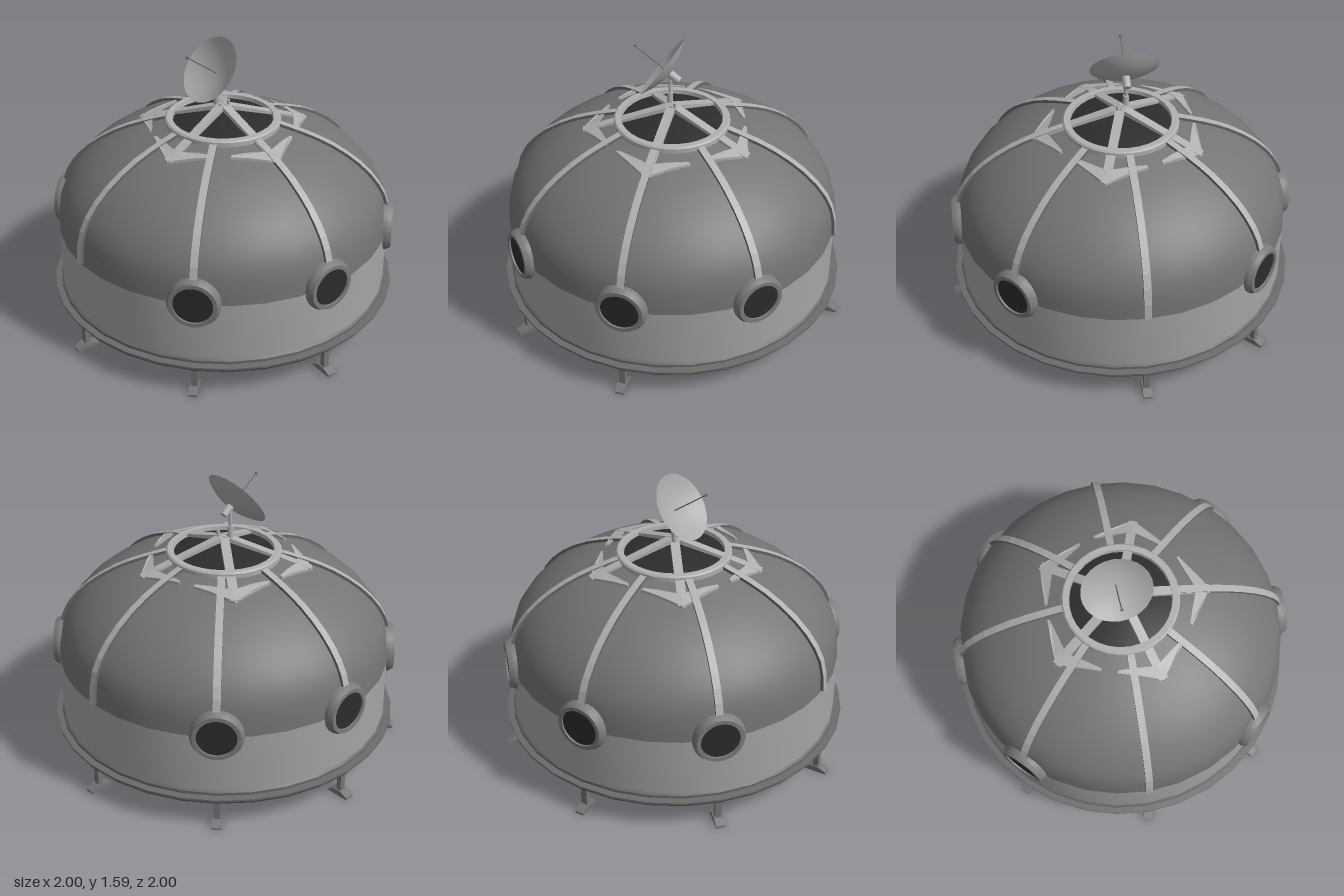
import * as THREE from 'three';
import { toCreasedNormals } from 'three/addons/utils/BufferGeometryUtils.js';

const SIDES = 32;
const V2 = (x, y) => new THREE.Vector2(x, y);
const V3 = (x, y, z) => new THREE.Vector3(x, y, z);

function paint(name, color, side = THREE.FrontSide) {
  const m = new THREE.MeshStandardMaterial({ color, side });
  m.name = name;
  return m;
}

function part(parent, name, geometry, material, x = 0, y = 0, z = 0) {
  const mesh = new THREE.Mesh(geometry, material);
  mesh.name = name;
  mesh.position.set(x, y, z);
  parent.add(mesh);
  return mesh;
}

// Turned shape from [radius, height] pairs, listed from the bottom up
function turned(pairs, sides = SIDES, crease = 0.5) {
  const g = new THREE.LatheGeometry(pairs.map(([r, y]) => V2(r, y)), sides);
  return toCreasedNormals(g, crease);
}

// Flat outline in the radius/height plane, thickened sideways
function slab(points, width) {
  const g = new THREE.ExtrudeGeometry(new THREE.Shape(points), { depth: width, bevelEnabled: false });
  return g.translate(0, 0, -width / 2);
}

// Rib following a dome curve from parameter t0 to the top
function ribAlong(curve, t0) {
  const inner = [], outer = [];
  for (let i = 0; i <= 10; i++) {
    const t = t0 + (1 - t0) * i / 10;
    const p = curve.getPoint(t), d = curve.getTangent(t);
    const n = V2(d.y, -d.x);
    outer.push(p.clone().addScaledVector(n, 0.016));
    inner.unshift(p.clone().addScaledVector(n, -0.02));
  }
  return slab([...outer, ...inner], 0.04);
}

// Forked plate draped over the dome, pointing along +x
function forkPlate() {
  const half = [[0.495, 0], [0.455, 0.06], [0.41, 0.125], [0.355, 0.205], [0.345, 0.195], [0.37, 0.12], [0.395, 0.055]];
  const mirrored = half.slice(1).reverse().map(([x, y]) => [x, -y]);
  const shape = new THREE.Shape([...half, [0.415, 0], ...mirrored].map(([x, y]) => V2(x, y)));
  const g = new THREE.ExtrudeGeometry(shape, { depth: 0.03, bevelEnabled: false }).rotateX(-Math.PI / 2);
  const p = g.attributes.position;
  for (let i = 0; i < p.count; i++) {
    const r = Math.hypot(p.getX(i), p.getZ(i));
    p.setY(i, p.getY(i) + 1.15 - 0.4 * r * r);
  }
  g.computeVertexNormals();
  return g;
}

// Group whose +x axis points outward at the given angle (from +x towards +z)
function spoke(parent, name, angle) {
  const g = new THREE.Group();
  g.name = name;
  g.rotation.y = -angle;
  parent.add(g);
  return g;
}

export function createModel() {
  const model = new THREE.Group();
  model.name = 'domeHabitat';
  const wallGrey = paint('wall grey', 0xa4a4a4);
  const domeGrey = paint('dome grey', 0x747474);
  const trimGrey = paint('trim grey', 0xb0b0b0);
  const frameGrey = paint('frame grey', 0x6a6a6a);
  const rimGrey = paint('porthole rim grey', 0x7c7c7c);
  const floorGrey = paint('floor grey', 0x9b9b9b);
  const legGrey = paint('leg grey', 0x747474);
  const dark = paint('dark glass', 0x2c2c2c);
  const dishGrey = paint('dish grey', 0xaaaaaa, THREE.DoubleSide);

  // Base flange, floor and wall
  part(model, 'skirt', turned([[0.87, 0.165], [0.87, 0.145], [0.965, 0.145], [0.98, 0.165], [0.98, 0.176],
    [0.945, 0.18], [0.945, 0.196], [0.933, 0.208]]), frameGrey);
  part(model, 'floor', new THREE.CircleGeometry(0.88, SIDES).rotateX(Math.PI / 2), floorGrey, 0, 0.15, 0);
  part(model, 'wall', turned([[0.935, 0.18], [0.935, 0.54]]), wallGrey);

  // Dome
  const curve = new THREE.SplineCurve([[0.935, 0.54], [0.918, 0.69], [0.86, 0.81], [0.75, 0.925],
    [0.6, 1.022], [0.45, 1.084], [0.3, 1.13]].map(([r, y]) => V2(r, y)));
  part(model, 'dome', new THREE.LatheGeometry(curve.getPoints(18), SIDES), domeGrey);

  // Ribs: long ones reach the wall, short ones stop at a porthole
  const longRib = ribAlong(curve, 0.02), shortRib = ribAlong(curve, 0.155);

  // Leg shapes
  const footShape = slab([V2(-0.065, 0), V2(0.065, 0), V2(0.065, 0.012), V2(0.022, 0.032),
    V2(-0.022, 0.032), V2(-0.065, 0.012)], 0.05);
  const postShape = new THREE.BoxGeometry(0.028, 0.13, 0.034);

  // Porthole shapes, facing outward along +x
  const rimShape = turned([[0.142, -0.07], [0.142, 0.004], [0.128, 0.03], [0.106, 0.03], [0.105, 0.016]], 28)
    .rotateZ(-Math.PI / 2);
  const glassShape = new THREE.CircleGeometry(0.107, 28).rotateY(Math.PI / 2);

  for (let k = 0; k < 8; k++) {
    const angle = k * Math.PI / 4;
    const side = spoke(model, 'side' + k, angle);
    const hasPorthole = k !== 2 && k !== 6;
    part(side, 'rib', hasPorthole ? shortRib : longRib, [frameGrey, trimGrey]);
    if (hasPorthole) {
      part(side, 'portholeRim', rimShape, rimGrey, 0.935, 0.55, 0);
      part(side, 'portholeGlass', glassShape, dark, 0.955, 0.55, 0);
    }
    // One leg stands inboard of the ring
    const leg = spoke(model, 'leg' + k, angle);
    if (k === 7) leg.position.set(0.19, 0, -0.66);
    else leg.position.set(0.935 * Math.cos(angle), 0, 0.935 * Math.sin(angle));
    part(leg, 'foot', footShape, legGrey);
    part(leg, 'post', postShape, legGrey, 0, 0.09, 0);
  }

  // Skylight: dark cone, ring and five struts with forked ends
  part(model, 'skylight', turned([[0.31, 1.126], [0, 1.212]], SIDES, 1), dark);
  part(model, 'skylightRing', turned([[0.32, 1.1], [0.32, 1.15], [0.312, 1.158], [0.28, 1.158], [0.275, 1.125]]), trimGrey);
  const fork = forkPlate();
  const strutShape = slab([V2(0, 1.2), V2(0.47, 1.065), V2(0.49, 1.085), V2(0, 1.238)], 0.05);
  for (let k = 0; k < 5; k++) {
    const strut = spoke(model, 'strut' + k, k * Math.PI * 2 / 5);
    part(strut, 'strutBar', strutShape, trimGrey);
    part(strut, 'strutFork', fork, trimGrey);
  }

  // Antenna mast
  part(model, 'mastSocket', new THREE.CylinderGeometry(0.016, 0.018, 0.08, 12), trimGrey, -0.03, 1.25, 0.02);
  part(model, 'mast', new THREE.CylinderGeometry(0.009, 0.009, 0.17, 10), trimGrey, -0.03, 1.3, 0.02);
  part(model, 'ventPipe', new THREE.CylinderGeometry(0.009, 0.009, 0.05, 8), trimGrey, 0.022, 1.232, -0.022);

  // Dish, tilted up towards the front
  const dish = new THREE.Group();
  dish.name = 'dish';
  dish.position.set(-0.03, 1.44, 0.067);
  dish.rotation.x = 0.946;
  model.add(dish);
  const bowl = [];
  for (let i = 0; i <= 8; i++) {
    const r = 0.19 * i / 8;
    bowl.push(V2(r, -0.055 * (1 - (r / 0.19) ** 2)));
  }
  part(dish, 'bowl', new THREE.LatheGeometry(bowl, 28), dishGrey);
  part(dish, 'hub', new THREE.CylinderGeometry(0.022, 0.022, 0.064, 14), trimGrey, 0, -0.088, 0);
  part(dish, 'feedRod', new THREE.CylinderGeometry(0.003, 0.003, 0.235, 8), frameGrey, 0, 0.062, 0);
  part(dish, 'feedTip', new THREE.SphereGeometry(0.008, 10, 8), frameGrey, 0, 0.18, 0);

  return model;
}
